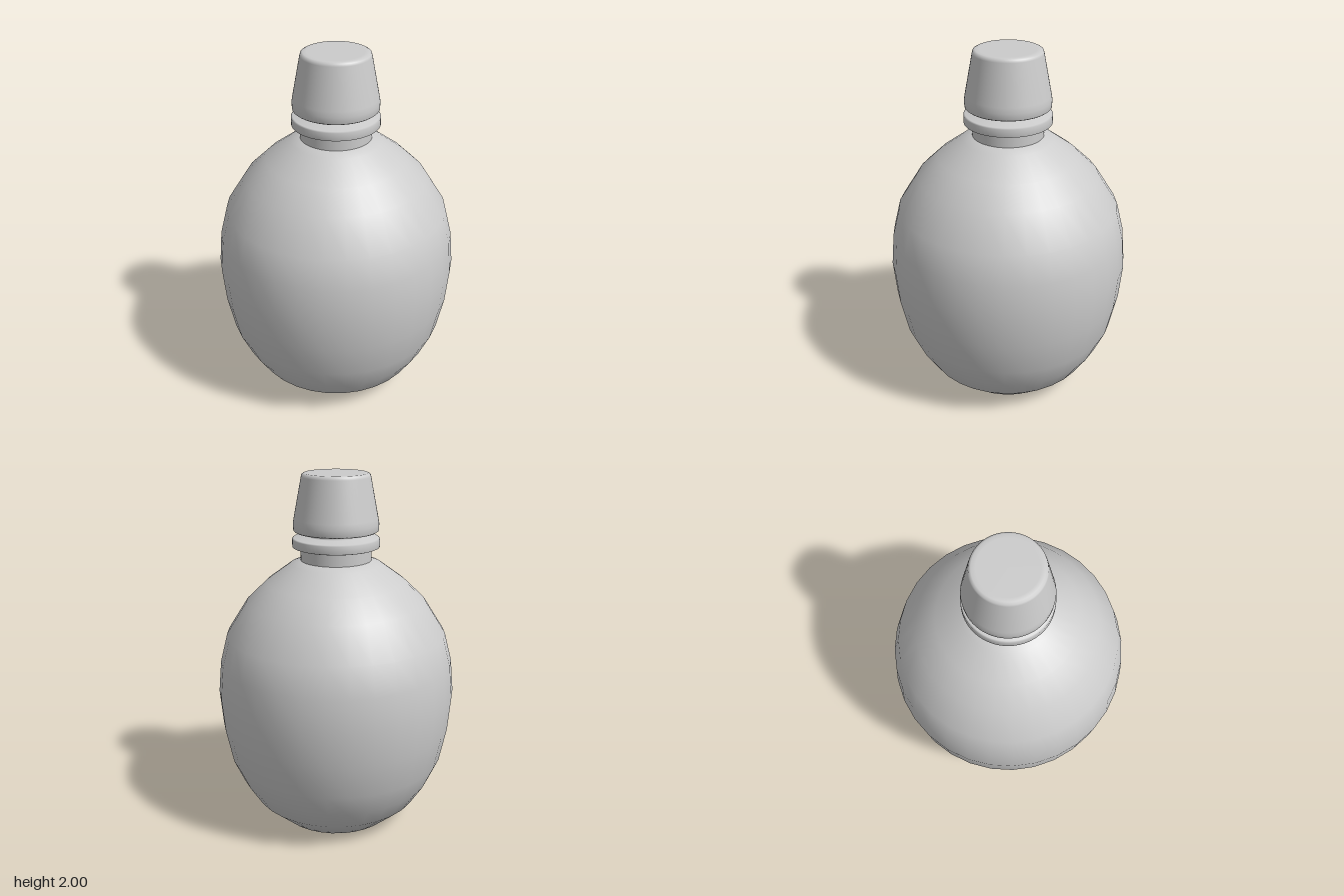
import * as THREE from 'three';

const material = new THREE.MeshStandardMaterial({ color: 0xcccccc });

// Turned part from a list of [radius, height], bottom to top
function turned(name, profile, segments) {
  const points = profile.map(([r, y]) => new THREE.Vector2(r, y));
  const mesh = new THREE.Mesh(new THREE.LatheGeometry(points, segments), material);
  mesh.name = name;
  return mesh;
}

export function createModel() {
  const bottle = new THREE.Group();
  bottle.name = 'bottle';

  // Egg-shaped body with a flat base
  bottle.add(turned('body', [
    [0, 0], [0.335, 0], [0.48, 0.13], [0.555, 0.25], [0.615, 0.385], [0.655, 0.58],
    [0.672, 0.78], [0.655, 0.96], [0.614, 1.12], [0.5, 1.3], [0.386, 1.41],
    [0.25, 1.51], [0.195, 1.53],
  ], 32));

  // Straight neck, running up into the cap
  bottle.add(turned('neck', [[0.195, 1.525], [0.195, 1.61]], 64));

  // Collar ring with a sloping top and a narrow stem
  bottle.add(turned('collar', [
    [0.19, 1.602], [0.232, 1.602], [0.24, 1.605], [0.24, 1.648], [0.232, 1.654],
    [0.17, 1.667], [0.165, 1.672], [0.165, 1.69],
  ], 64));

  // Tapered cap with softened rims
  bottle.add(turned('cap', [
    [0, 1.682], [0.165, 1.682], [0.225, 1.688], [0.233, 1.694], [0.235, 1.73],
    [0.23, 1.76], [0.188, 1.98], [0.184, 1.993], [0.172, 2], [0.15, 2], [0, 2],
  ], 64));

  return bottle;
}
